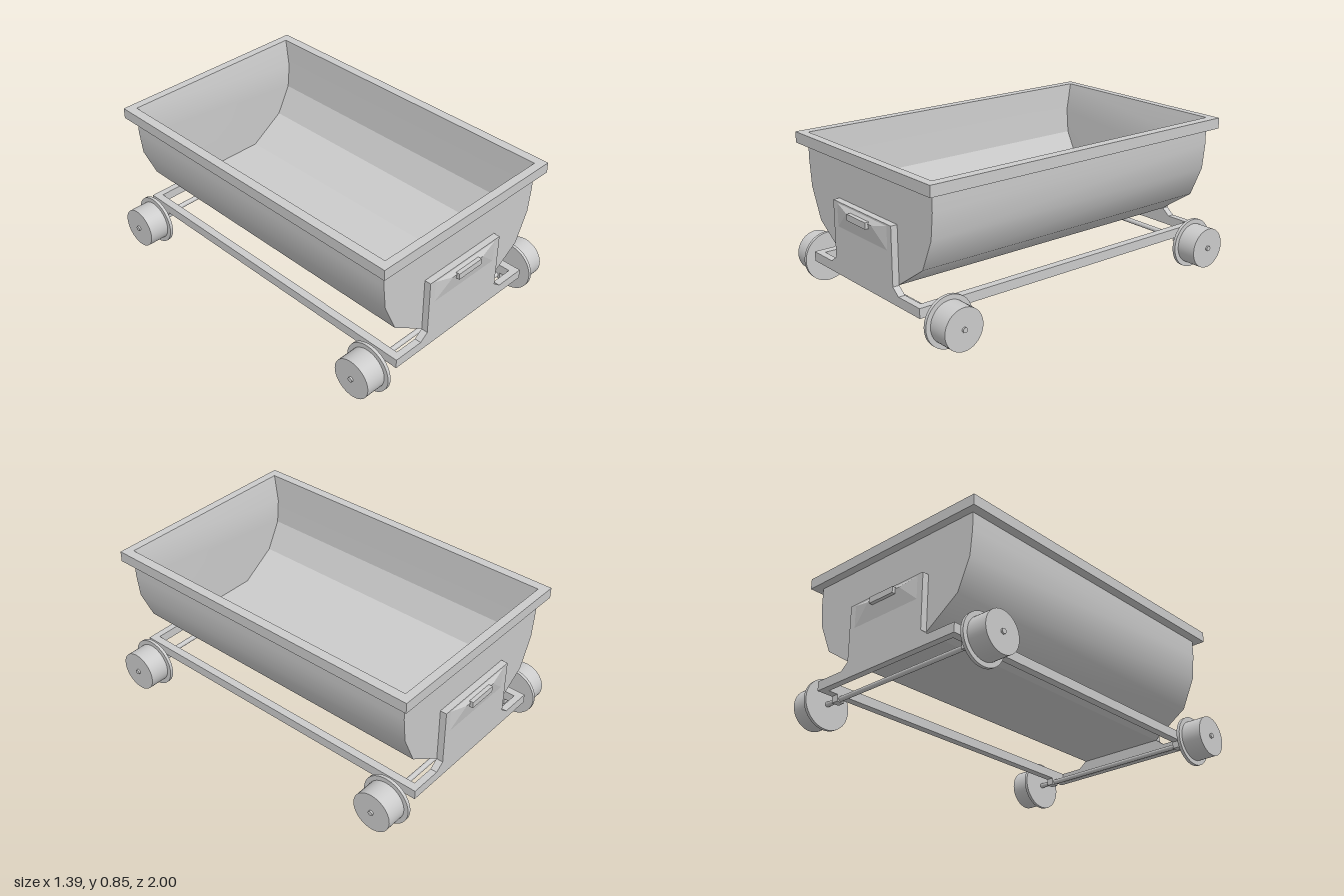
import * as THREE from 'three';
import { toCreasedNormals } from 'three/addons/utils/BufferGeometryUtils.js';
import { ConvexGeometry } from 'three/addons/geometries/ConvexGeometry.js';

const material = new THREE.MeshStandardMaterial({ color: 0xcccccc });

function add(parent, name, geometry, x = 0, y = 0, z = 0) {
  const mesh = new THREE.Mesh(geometry, material);
  mesh.name = name;
  mesh.position.set(x, y, z);
  parent.add(mesh);
  return mesh;
}

function box(parent, name, x0, x1, y0, y1, z0, z1) {
  return add(parent, name, new THREE.BoxGeometry(x1 - x0, y1 - y0, z1 - z0),
    (x0 + x1) / 2, (y0 + y1) / 2, (z0 + z1) / 2);
}

// Geometry from convex polygons, each wound anticlockwise as seen from its front
function fromFaces(faces, crease) {
  const positions = [];
  for (const f of faces) {
    for (let i = 1; i < f.length - 1; i++) positions.push(...f[0], ...f[i], ...f[i + 1]);
  }
  const geometry = new THREE.BufferGeometry();
  geometry.setAttribute('position', new THREE.Float32BufferAttribute(positions, 3));
  return toCreasedNormals(geometry, crease);
}

// Faces of an open trough: a half profile [x, y] from top to bottom, mirrored and run along z
function troughFaces(half, zEnd, inward) {
  const profile = [...half.map(([x, y]) => [-x, y]), ...[...half].reverse()];
  const front = profile.map(([x, y]) => [x, y, zEnd]);
  const back = profile.map(([x, y]) => [x, y, -zEnd]);
  const faces = [front, [...back].reverse()];
  for (let i = 0; i < profile.length - 1; i++) {
    faces.push([front[i], back[i], back[i + 1], front[i + 1]]);
  }
  return inward ? faces.map((f) => [...f].reverse()) : faces;
}

function rectangle(Type, x, y) {
  const r = new Type();
  r.moveTo(-x, -y).lineTo(x, -y).lineTo(x, y).lineTo(-x, y).closePath();
  return r;
}

function buildTub(model) {
  const tub = new THREE.Group();
  tub.name = 'tub';
  model.add(tub);

  const outer = [[0.56, 0.82], [0.56, 0.7], [0.545, 0.56], [0.47, 0.39], [0.262, 0.25]];
  add(tub, 'tubOuterShell', fromFaces(troughFaces(outer, 0.93, false), 0.577));

  const inner = [[0.547, 0.7], [0.535, 0.56], [0.452, 0.4], [0.25, 0.265]];
  const lining = troughFaces(inner, 0.893, true);
  // Sloping band joining the lining to the mouth
  const ring = (x, y, z) => [[x, y, z], [x, y, -z], [-x, y, -z], [-x, y, z]];
  const low = ring(0.547, 0.7, 0.893);
  const high = ring(0.557, 0.855, 0.928);
  for (let i = 0; i < 4; i++) {
    const j = (i + 1) % 4;
    lining.push([low[i], high[i], high[j], low[j]]);
  }
  add(tub, 'tubLining', fromFaces(lining, 0.27));

  // Rim frame
  const rim = rectangle(THREE.Shape, 0.61, 0.975);
  rim.holes.push(rectangle(THREE.Path, 0.557, 0.928));
  const rimGeometry = new THREE.ExtrudeGeometry(rim, { depth: 0.06, bevelEnabled: false });
  rimGeometry.rotateX(-Math.PI / 2);
  add(tub, 'rim', rimGeometry, 0, 0.795, 0);
}

function buildEnd(name) {
  const end = new THREE.Group();
  end.name = name;

  // Plate with a wide foot
  const half = [[0.49, 0.16], [0.49, 0.213], [0.312, 0.213], [0.265, 0.25], [0.265, 0.565]];
  const outline = [...half, ...half.map(([x, y]) => [-x, y]).reverse()];
  const shape = new THREE.Shape(outline.map(([x, y]) => new THREE.Vector2(x, y)));
  add(end, 'endPlate', new THREE.ExtrudeGeometry(shape, { depth: 0.038, bevelEnabled: false }), 0, 0, 0.929);

  // Shallow swelling behind the handle
  const points = [];
  for (const s of [-1, 1]) {
    points.push(new THREE.Vector3(0.26 * s, 0.563, 0.962), new THREE.Vector3(0.26 * s, 0.4, 0.962),
      new THREE.Vector3(0.115 * s, 0.53, 0.984));
  }
  add(end, 'plateSwelling', new ConvexGeometry(points));
  box(end, 'handle', -0.085, 0.085, 0.505, 0.54, 0.96, 1);

  // Axle with its bearings and flanged wheels
  const cylinder = (part, radius, x0, x1, sides) => {
    const geometry = new THREE.CylinderGeometry(radius, radius, x1 - x0, sides);
    geometry.rotateZ(Math.PI / 2);
    add(end, part, geometry, (x0 + x1) / 2, 0.14, 0.85);
  };
  cylinder('axle', 0.014, -0.695, 0.695, 16);
  for (const s of [-1, 1]) {
    const span = (a, b) => (s > 0 ? [a, b] : [-b, -a]);
    box(end, 'bearing', ...span(0.445, 0.488), 0.122, 0.162, 0.828, 0.872);
    cylinder('wheelFlange', 0.139, ...span(0.552, 0.57), 48);
    cylinder('wheelDrum', 0.113, ...span(0.565, 0.685), 48);
  }
  return end;
}

export function createModel() {
  const model = new THREE.Group();
  model.name = 'railTubWagon';
  buildTub(model);

  // Long side rails
  for (const s of [-1, 1]) {
    const edges = s > 0 ? [0.445, 0.49] : [-0.49, -0.445];
    box(model, 'sideRail', ...edges, 0.16, 0.213, -0.94, 0.94);
  }

  const back = buildEnd('backEnd');
  back.rotation.y = Math.PI;
  model.add(buildEnd('frontEnd'), back);
  return model;
}
